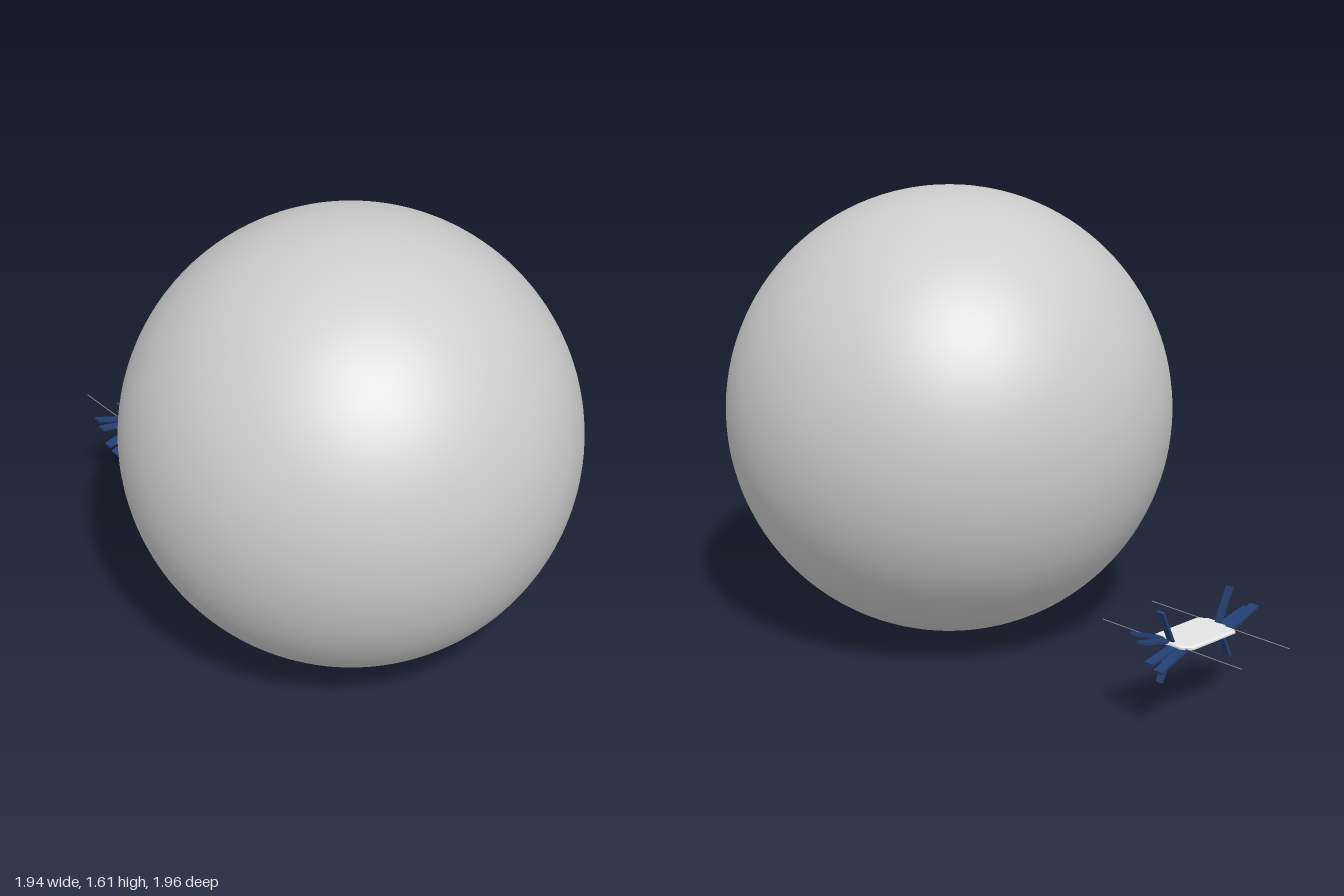
import * as THREE from 'three';

export function createModel() {
  const model = new THREE.Group();
  const mat = (name, color) => {
    const m = new THREE.MeshStandardMaterial({ color });
    m.name = name;
    return m;
  };
  const planetGrey = mat('planet grey', 0xcccccc);
  const hullWhite = mat('hull white', 0xe4e4e4);
  const panelBlue = mat('panel blue', 0x233f72);
  const antennaGrey = mat('antenna grey', 0x8c8c8c);

  const add = (parent, name, geometry, material) => {
    const mesh = new THREE.Mesh(geometry, material);
    mesh.name = name;
    parent.add(mesh);
    return mesh;
  };

  // Large smooth planet
  add(model, 'planet', new THREE.SphereGeometry(0.805, 96, 64), planetGrey)
    .position.set(0.18, 0.805, 0.19);

  // Satellite: local x is its long axis, local z its width
  const satellite = new THREE.Group();
  satellite.name = 'satellite';
  satellite.position.set(-0.66, 0.277, -0.67);
  satellite.rotation.y = Math.PI / 4;
  model.add(satellite);

  // Thin hull with chamfered corners and bevelled rim
  const outline = new THREE.Shape([
    [-0.125, -0.05], [-0.1, -0.078], [0.1, -0.078], [0.125, -0.05],
    [0.125, 0.05], [0.1, 0.078], [-0.1, 0.078], [-0.125, 0.05],
  ].map(([x, y]) => new THREE.Vector2(x, y)));
  const hull = new THREE.ExtrudeGeometry(outline, {
    depth: 0.006, bevelEnabled: true, bevelThickness: 0.005, bevelSize: 0.008, bevelSegments: 1,
  });
  hull.translate(0, 0, -0.003);
  hull.rotateX(Math.PI / 2);
  add(satellite, 'hull', hull, hullWhite);

  // Panel strip hinged at the hull and pitched up or down
  const strip = (parent, name, root, length, width, z, degrees) => {
    const geometry = new THREE.BoxGeometry(length, 0.009, width);
    geometry.translate(length / 2, 0, 0);
    const mesh = add(parent, name, geometry, panelBlue);
    mesh.position.set(root, 0, z);
    mesh.rotation.z = THREE.MathUtils.degToRad(degrees);
  };

  // The two ends match by a half turn about the vertical
  for (const turn of [0, Math.PI]) {
    const end = new THREE.Group();
    end.name = 'panelFan';
    end.rotation.y = turn;
    satellite.add(end);
    [[-0.0525, -20], [-0.0175, -12], [0.0175, 12], [0.0525, 20]].forEach(([z, pitch]) =>
      strip(end, 'panel', 0.1, 0.15, 0.034, z, pitch));
    for (const side of [-1, 1]) strip(end, 'steepPanel', 0.115, 0.135, 0.026, 0, side * 65);

    // Long thin antenna across the hull
    const rod = new THREE.CylinderGeometry(0.0018, 0.0018, 0.6, 6);
    rod.rotateX(Math.PI / 2);
    add(end, 'antenna', rod, antennaGrey).position.set(0.122, 0, 0);
  }
  return model;
}
